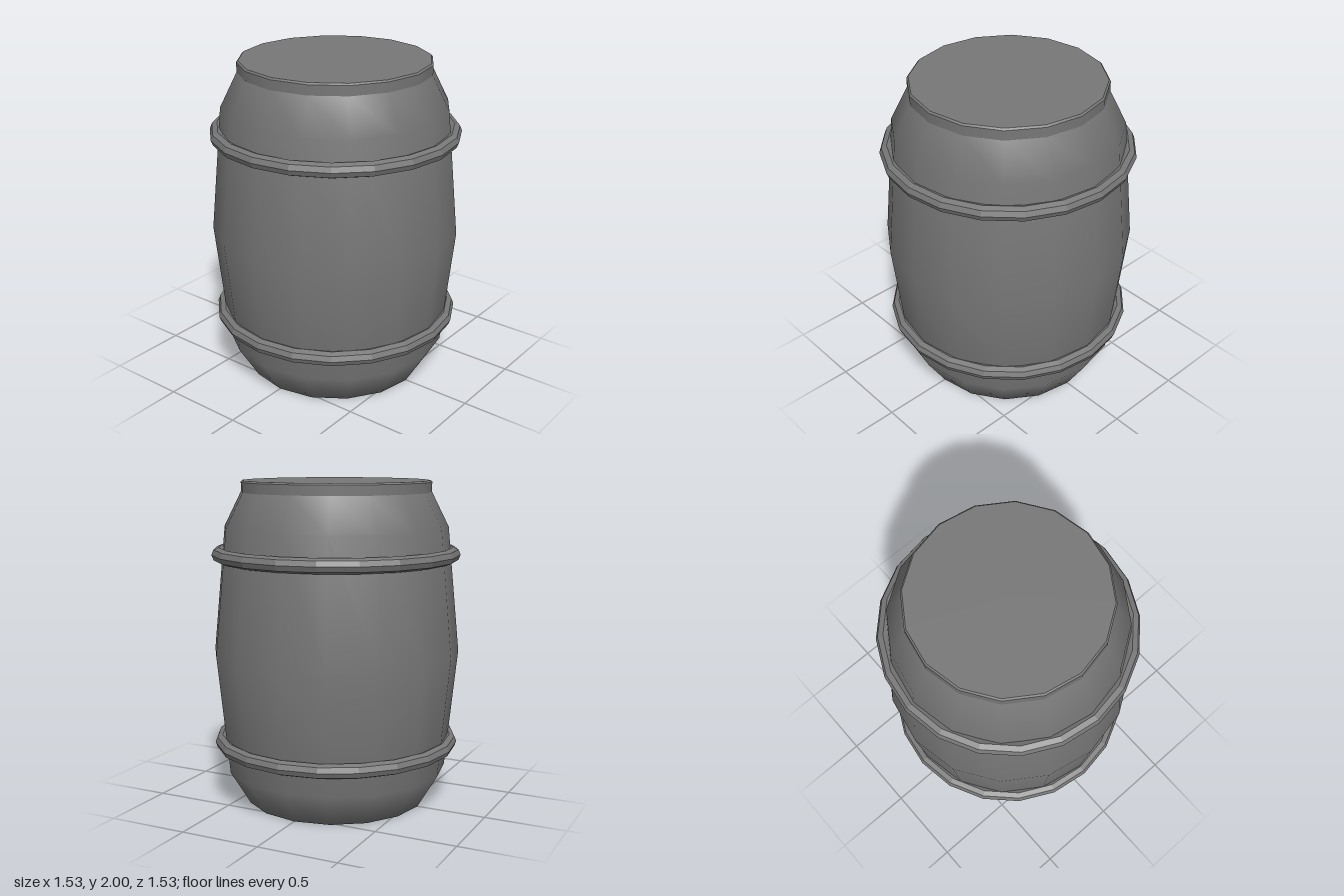
import * as THREE from 'three';

const SIDES = 16;

function lathe(name, profile, material) {
  const points = profile.map(([r, y]) => new THREE.Vector2(r, y));
  const mesh = new THREE.Mesh(new THREE.LatheGeometry(points, SIDES), material);
  mesh.name = name;
  return mesh;
}

export function createModel() {
  const group = new THREE.Group();
  group.name = 'barrel';
  const grey = new THREE.MeshStandardMaterial({ color: 0x777777 });
  grey.name = 'barrel grey';

  // Smooth bulging body, closed underneath
  group.add(lathe('body', [
    [0.03, 0], [0.565, 0], [0.69, 0.21], [0.765, 0.95], [0.69, 1.72], [0.585, 1.93],
  ], grey));

  // Small plug in the middle of the base
  const plug = new THREE.Mesh(new THREE.CircleGeometry(0.03, SIDES), grey);
  plug.name = 'basePlug';
  plug.rotation.x = Math.PI / 2;
  group.add(plug);

  // Lid: upright rim, narrow bevel and flat top
  group.add(lathe('lidRim', [[0.585, 1.925], [0.585, 1.99]], grey));
  group.add(lathe('lidBevel', [[0.585, 1.99], [0.575, 2]], grey));
  const top = new THREE.Mesh(new THREE.CircleGeometry(0.575, SIDES), grey);
  top.name = 'lidTop';
  top.rotation.x = -Math.PI / 2;
  top.position.y = 2;
  group.add(top);

  // Two faceted hoops
  const facets = new THREE.TorusGeometry(0.72, 0.045, 8, 20).toNonIndexed();
  facets.computeVertexNormals();
  for (const [name, y] of [['lowerHoop', 0.38], ['upperHoop', 1.555]]) {
    const hoop = new THREE.Mesh(facets, grey);
    hoop.name = name;
    hoop.rotation.x = -Math.PI / 2;
    hoop.position.y = y;
    group.add(hoop);
  }
  return group;
}
